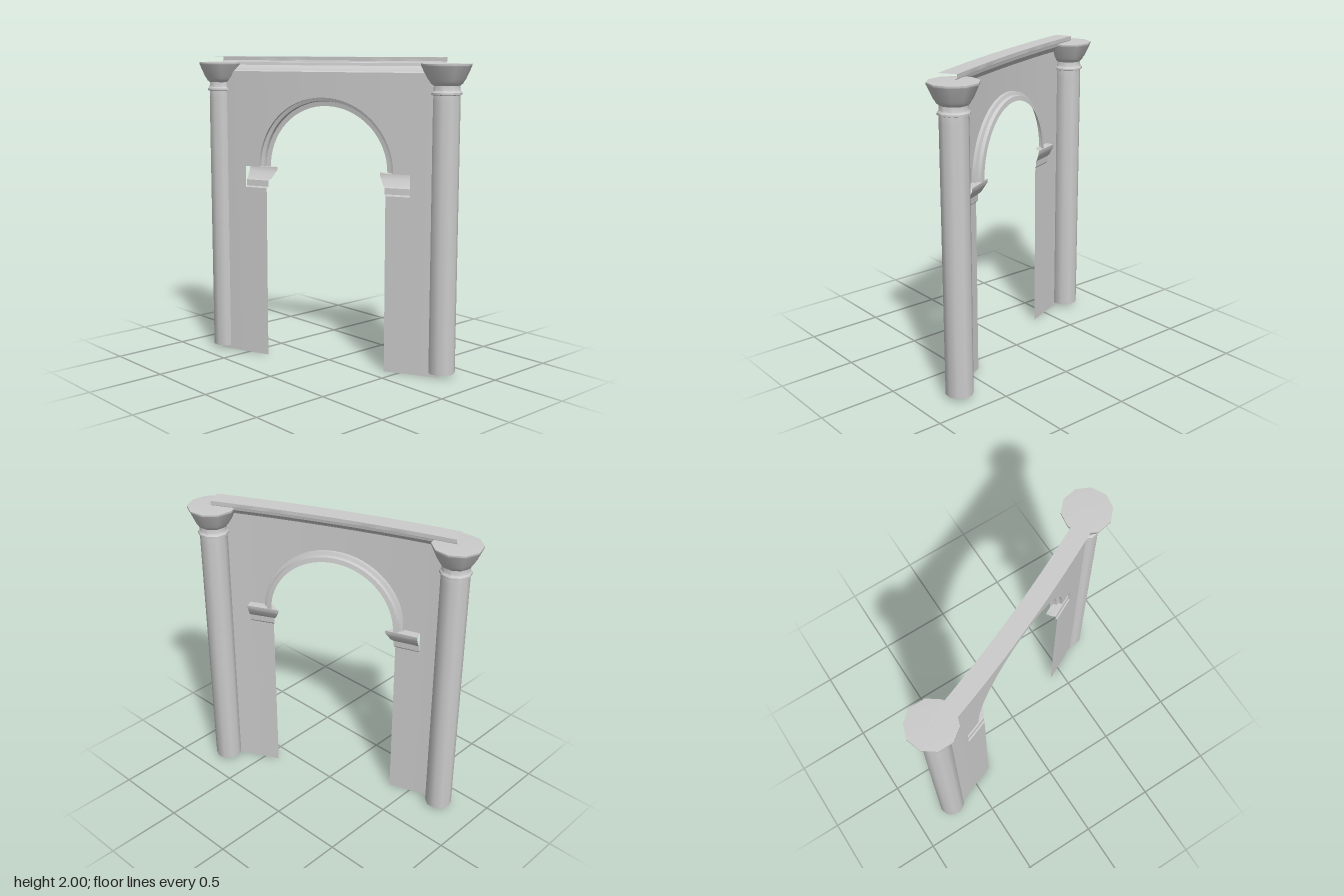
import * as THREE from 'three';
import { toCreasedNormals } from 'three/addons/utils/BufferGeometryUtils.js';

const material = new THREE.MeshStandardMaterial({ color: 0xcccccc, side: THREE.DoubleSide });

// Opening and wall dimensions, u runs along the curved wall
const WALL = [-0.71, 0.735], JAMB = [-0.36, 0.41], SEAM = [-0.51, 0.553];
const WALL_TOP = 1.905, SPRING = 1.28, IMPOST_BASE = 1.14;
const ARCH = { u: 0.0225, rx: 0.4325, ry: 0.465 };

// Point on the wall's curved plan, moved towards its back by "back"
function wallPoint(u, back, y) {
  const slope = -0.431 - 0.134 * u;
  const len = Math.hypot(slope, 1);
  const z = 0.083 - 0.431 * u - 0.067 * u * u;
  return [u + (back * slope) / len, y, z - back / len];
}

// Grid surface: point(i, j) for i in 0..nu, j in 0..nv
function sheet(name, nu, nv, point) {
  const pos = [], idx = [];
  for (let i = 0; i <= nu; i++) for (let j = 0; j <= nv; j++) pos.push(...point(i, j));
  for (let i = 0; i < nu; i++) {
    for (let j = 0; j < nv; j++) {
      const a = i * (nv + 1) + j, b = a + nv + 1;
      idx.push(a, b, a + 1, b, b + 1, a + 1);
    }
  }
  const geo = new THREE.BufferGeometry();
  geo.setAttribute('position', new THREE.Float32BufferAttribute(pos, 3));
  geo.setIndex(idx);
  const mesh = new THREE.Mesh(toCreasedNormals(geo, 0.45), material);
  mesh.name = name;
  return mesh;
}

// Upright wall panel between two heights
function panel(name, u0, u1, y0, y1, n = 3) {
  return sheet(name, n, 1, (i, j) => wallPoint(u0 + ((u1 - u0) * i) / n, 0, j ? y1 : y0));
}

function column(name, x, z, turn) {
  // Shaft, necking ring and flared capital in one open-bottomed profile
  const profile = [
    [0.088, 0.025], [0.088, 1.73], [0.086, 1.772], [0.098, 1.776], [0.098, 1.788],
    [0.087, 1.8], [0.085, 1.83], [0.1, 1.842], [0.107, 1.855], [0.118, 1.87],
    [0.152, 1.945], [0.155, 1.95], [0.155, 1.961], [0.001, 1.966],
  ].map(([r, y]) => new THREE.Vector2(r, y));
  const geo = toCreasedNormals(new THREE.LatheGeometry(profile, 10), 0.7);
  const mesh = new THREE.Mesh(geo, material);
  mesh.name = name;
  mesh.position.set(x, 0, z);
  mesh.rotation.y = Math.PI / 2 + turn;
  return mesh;
}

export function createModel() {
  const model = new THREE.Group();
  model.name = 'archway';

  // Wall above the opening, its lower edge following the arch
  const n = 32;
  model.add(sheet('archWall', n, 1, (i, j) => {
    const t = Math.PI * (1 - i / n);
    const u = ARCH.u + ARCH.rx * Math.cos(t);
    return wallPoint(u, 0, j ? WALL_TOP : SPRING + ARCH.ry * Math.sin(t));
  }));

  // Arch moulding stepping inwards and back: [inward, back]
  const ring = [[0, 0], [0, 0.02], [0.022, 0.028], [0.026, 0.05], [0.056, 0.055]];
  model.add(sheet('archMoulding', n, ring.length - 1, (i, j) => {
    const t = Math.PI * (1 - i / n), [inward, back] = ring[j];
    const u = ARCH.u + (ARCH.rx - inward * 0.92) * Math.cos(t);
    return wallPoint(u, back, SPRING + (ARCH.ry - inward) * Math.sin(t));
  }));

  // Piers and imposts on both sides
  const impost = [[0, IMPOST_BASE], [0.008, 1.15], [0.01, 1.19], [0.025, 1.205],
    [0.043, 1.24], [0.053, 1.258], [0.055, SPRING], [0, SPRING]];
  [['right', 0, 1], ['left', 1, -1]].forEach(([side, k, dir]) => {
    const spring = ARCH.u - dir * ARCH.rx;
    model.add(panel(side + 'OuterPier', WALL[k], SEAM[k], 0, WALL_TOP));
    model.add(panel(side + 'Jamb', SEAM[k], JAMB[k], 0, IMPOST_BASE));
    model.add(panel(side + 'Spandrel', SEAM[k], spring, SPRING, WALL_TOP));
    // Impost flares to the back, its inner end cut on a mitre
    model.add(sheet(side + 'Impost', 3, impost.length - 1, (i, j) => {
      const [out, y] = impost[j];
      const inner = JAMB[k] + dir * out * 0.92;
      return wallPoint(SEAM[k] + ((inner - SEAM[k]) * i) / 3, out, y);
    }));
  });

  // Cornice stepping out to the back, closed by a top slab: [back, y]
  const cornice = [[0, WALL_TOP], [0.012, 1.912], [0.02, 1.925], [0.042, 1.945],
    [0.046, 1.963], [0.058, 1.967], [0.06, 1.973], [0.068, 1.975], [0.068, 2], [-0.048, 2]];
  model.add(sheet('cornice', 16, cornice.length - 1, (i, j) =>
    wallPoint(WALL[0] + ((WALL[1] - WALL[0]) * i) / 16, ...cornice[j])));

  // Columns at both ends
  model.add(column('rightColumn', -0.725, 0.312, 0));
  model.add(column('leftColumn', 0.715, -0.312, 0.17));
  return model;
}
